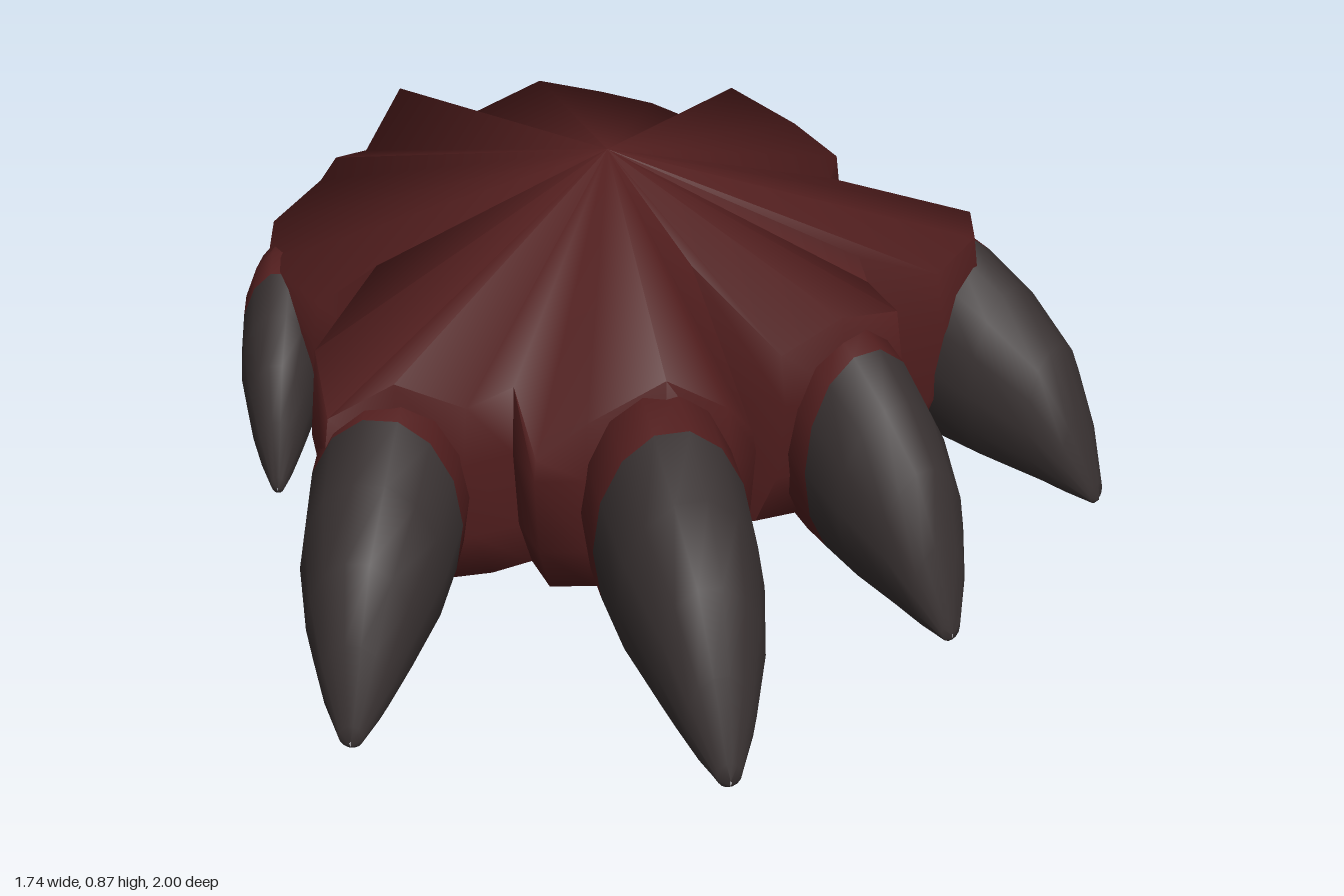
import * as THREE from 'three';
import { toCreasedNormals } from 'three/addons/utils/BufferGeometryUtils.js';

const hide = new THREE.MeshStandardMaterial({ color: 0x521e1e });
hide.name = 'darkRedHide';
const horn = new THREE.MeshStandardMaterial({ color: 0x373030 });
horn.name = 'charcoalClaw';

function makeMesh(name, triangles, material, crease) {
  const geometry = new THREE.BufferGeometry();
  geometry.setAttribute('position', new THREE.Float32BufferAttribute(triangles.flat(), 3));
  const mesh = new THREE.Mesh(toCreasedNormals(geometry, crease), material);
  mesh.name = name;
  return mesh;
}

// Rim of the foot as [x, z, height], counter-clockwise seen from above
const APEX = [-0.14, 0.88, 0];
const RIM = [
  // outer front toe and gap
  [-0.77, 0.17, 0.59], [-0.77, 0.34, 0.53], [-0.64, 0.36, 0.6], [-0.5, 0.36, 0.53], [-0.4, 0.33, 0.55],
  // middle toe and gap
  [-0.38, 0.45, 0.45], [-0.28, 0.47, 0.53], [-0.13, 0.5, 0.62], [0, 0.47, 0.53], [0.06, 0.43, 0.45], [0, 0.15, 0.68],
  // third toe and gap
  [0.16, 0.27, 0.52], [0.29, 0.25, 0.58], [0.43, 0.17, 0.54], [0.4, 0.05, 0.55], [0.385, 0.03, 0.6],
  // side toe
  [0.56, 0.03, 0.54], [0.66, -0.04, 0.58], [0.7, -0.2, 0.56], [0.45, -0.43, 0.56],
  // heel and pleated wrist
  [0.51, -0.6, 0.53], [0.45, -0.75, 0.55], [0.34, -0.91, 0.58], [0.26, -0.95, 0.49], [0.17, -1, 0.52], [0.05, -1, 0.56],
  [-0.1, -0.98, 0.61], [-0.32, -1, 0.51], [-0.43, -0.94, 0.64], [-0.52, -0.89, 0.52], [-0.6, -0.8, 0.55], [-0.65, -0.67, 0.56],
  // rear toe
  [-0.77, -0.55, 0.53], [-0.8, -0.42, 0.5], [-0.72, -0.2, 0.5], [-0.6, -0.15, 0.6],
];

// Pointed fan on top, bulging walls and a bowl-shaped sole
function foot() {
  const ring = (scale, y) => RIM.map(([x, z, top]) => [
    APEX[0] + (x - APEX[0]) * scale, y ?? top, z * scale,
  ]);
  const rings = [ring(0.975), ring(1, 0.41), ring(0.96, 0.24), ring(0.84, 0.125), ring(0.55, 0.09)];
  const sole = [APEX[0], 0.085, 0];
  const last = rings[rings.length - 1];
  const tris = [];
  const n = RIM.length;
  for (let i = 0; i < n; i++) {
    const j = (i + 1) % n;
    tris.push(...APEX, ...rings[0][i], ...rings[0][j]);
    for (let k = 0; k < rings.length - 1; k++) {
      const a = rings[k], b = rings[k + 1];
      tris.push(...a[i], ...b[i], ...b[j], ...a[i], ...b[j], ...a[j]);
    }
    tris.push(...sole, ...last[j], ...last[i]);
  }
  return makeMesh('foot', tris, hide, 1.25);
}

// Cross-sections of a toe: [distance behind tip, top, bottom, half width]
const TOE = [
  [0.8, 0.5, 0.14, 0.09], [0.64, 0.57, 0.09, 0.14], [0.52, 0.58, 0.08, 0.16],
  [0.43, 0.55, 0.075, 0.16], [0.29, 0.48, 0.065, 0.148], [0.15, 0.38, 0.055, 0.11],
  [0.07, 0.24, 0.045, 0.07], [0.01, 0.09, 0.04, 0.025], [0, 0.06, 0.05, 0.001],
];
const CLAW_START = 3;
const SIDES = 14;

// Hide-covered knuckle and thick tapering claw; patch lists hide-coloured facets at the claw root
function toe(name, tip, heading, size, patch = []) {
  const norm = Math.hypot(...heading);
  const [fx, fz] = heading.map((v) => v / norm);
  const loops = TOE.map(([d, top, bottom, w]) => {
    const loop = [];
    for (let s = 0; s < SIDES; s++) {
      const a = (s / SIDES) * Math.PI * 2;
      const c = Math.cos(a) * w * size.width;
      const y = (top + bottom) / 2 + (Math.sin(a) * (top - bottom)) / 2;
      const back = d * size.length;
      loop.push([tip[0] - fx * back - fz * c, tip[1] + (y - 0.04) * size.height, tip[2] - fz * back + fx * c]);
    }
    return loop;
  });
  const hideTris = [], hornTris = [];
  for (let i = 0; i < loops.length - 1; i++) {
    for (let s = 0; s < SIDES; s++) {
      const t = (s + 1) % SIDES;
      const a = loops[i], b = loops[i + 1];
      const isHide = i < CLAW_START || (i === CLAW_START && patch.includes(s));
      (isHide ? hideTris : hornTris).push(...a[s], ...b[s], ...a[t], ...a[t], ...b[s], ...b[t]);
    }
  }
  const group = new THREE.Group();
  group.name = name;
  group.add(makeMesh('knuckle', hideTris, hide, 1), makeMesh('claw', hornTris, horn, 1));
  return group;
}

export function createModel() {
  const model = new THREE.Group();
  model.name = 'clawedFoot';
  model.add(
    foot(),
    toe('rightToe', [-0.79, 0.06, 0.75], [-0.32, 0.92], { length: 0.92, width: 0.95, height: 0.95 }),
    toe('middleToe', [-0.125, 0.04, 1], [0.03, 1], { length: 1, width: 0.97, height: 1.02 }, [7]),
    toe('leftToe', [0.43, 0.005, 0.57], [0.32, 0.92], { length: 0.74, width: 0.9, height: 1 }),
    toe('sideToe', [0.86, 0.05, 0.2], [0.6, 0.77], { length: 0.85, width: 0.92, height: 0.97 }, [7]),
    toe('rearToe', [-0.82, 0.12, -0.1], [-0.22, 1], { length: 0.6, width: 0.56, height: 0.75 }),
  );
  return model;
}
